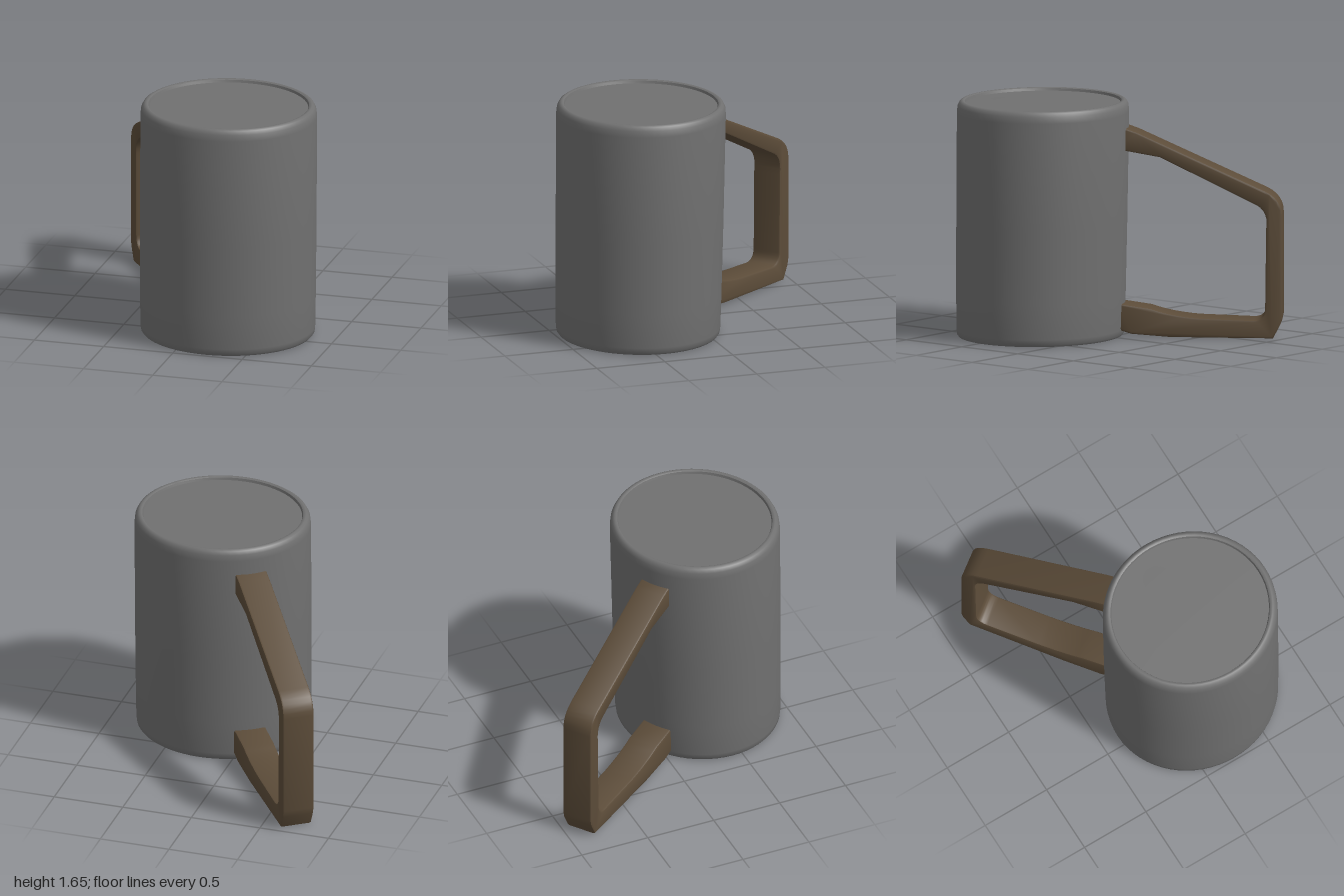
import * as THREE from 'three';
import { toCreasedNormals } from 'three/addons/utils/BufferGeometryUtils.js';

const HEIGHT = 1.66;

// Closed mug body: unit-radius profile, made slightly oval and tapered towards the base
function makeBody() {
  const profile = [
    [0, 0.015], [0.88, 0.015], [0.93, 0.008], [0.965, 0.01], [0.985, 0.025], [0.992, 0.06],
    [0.996, 0.3], [1, 0.8], [1, 1.58], [0.992, 1.625], [0.97, 1.65], [0.945, HEIGHT],
    [0.925, HEIGHT], [0.91, 1.655], [0.9, 1.638], [0.6, 1.64], [0, 1.645],
  ].map(([r, y]) => new THREE.Vector2(r, y));
  const geometry = new THREE.LatheGeometry(profile, 64);
  const p = geometry.attributes.position;
  for (let i = 0; i < p.count; i++) {
    const t = p.getY(i) / HEIGHT;
    p.setX(i, 0.23 + p.getX(i) * 0.615);
    p.setZ(i, THREE.MathUtils.lerp(0.428, 0.404, t) + p.getZ(i) * THREE.MathUtils.lerp(0.57, 0.586, t));
  }
  return toCreasedNormals(geometry, 0.7);
}

// Angular handle: C-shaped outline (distance from mug, height) extruded to its width
function makeHandle() {
  const width = 0.226, bevel = 0.014;
  const s = new THREE.Shape();
  s.moveTo(-0.08, 1.5);
  s.lineTo(0.067, 1.45);
  s.lineTo(0.96, 1.045);
  s.quadraticCurveTo(1.075, 0.99, 1.077, 0.88);
  s.lineTo(1.077, 0.16);
  s.lineTo(1.065, 0.11);
  s.lineTo(1.015, 0.012);
  s.lineTo(0.3, 0.015);
  s.lineTo(0.03, 0.035);
  s.lineTo(-0.08, 0.07);
  s.lineTo(-0.08, 0.25);
  s.lineTo(0.16, 0.215);
  s.quadraticCurveTo(0.3, 0.165, 0.5, 0.15);
  s.lineTo(0.88, 0.137);
  s.quadraticCurveTo(0.955, 0.14, 0.96, 0.22);
  s.lineTo(0.967, 0.78);
  s.quadraticCurveTo(0.985, 0.9, 0.9, 0.945);
  s.lineTo(0.23, 1.275);
  s.lineTo(-0.08, 1.33);
  const geometry = new THREE.ExtrudeGeometry(s, {
    depth: width - 2 * bevel, curveSegments: 6,
    bevelEnabled: true, bevelSize: bevel, bevelThickness: bevel, bevelOffset: -bevel, bevelSegments: 2,
  });
  geometry.translate(0, 0, -width / 2 + bevel);
  return toCreasedNormals(geometry, 0.6);
}

export function createModel() {
  const group = new THREE.Group();
  group.name = 'mug';

  const body = new THREE.Mesh(makeBody(), new THREE.MeshStandardMaterial({ color: 0x707070 }));
  body.name = 'mugBody';

  const handle = new THREE.Mesh(makeHandle(), new THREE.MeshStandardMaterial({ color: 0x5c4c39 }));
  handle.name = 'handle';
  handle.position.set(-0.13, 0, -0.06);
  handle.rotation.y = Math.atan2(0.81, -0.585);

  group.add(body, handle);
  return group;
}
